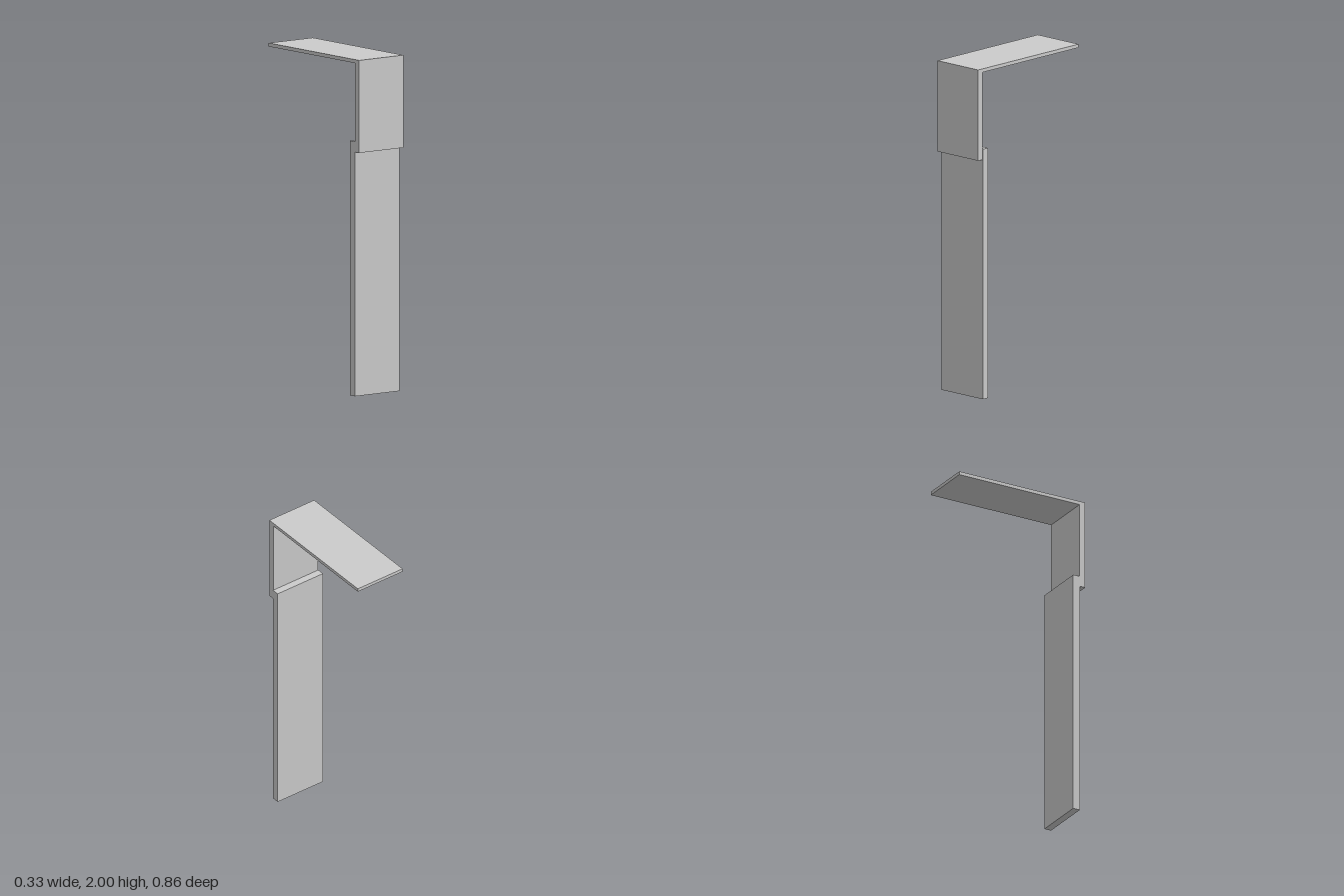
import * as THREE from 'three';

export function createModel() {
  const model = new THREE.Group();
  const material = new THREE.MeshStandardMaterial({ color: 0xcccccc, flatShading: true });

  // Extrudes a side profile of [z, y] corners across the width, centred on x = 0
  function addStrip(name, profile, width) {
    const shape = new THREE.Shape(profile.map(([z, y]) => new THREE.Vector2(-z, y)));
    const geometry = new THREE.ExtrudeGeometry(shape, { depth: width, bevelEnabled: false });
    geometry.translate(0, 0, -width / 2);
    geometry.rotateY(Math.PI / 2);
    const mesh = new THREE.Mesh(geometry, material);
    mesh.name = name;
    model.add(mesh);
  }

  // L-shaped bracket: thin top arm and thicker front flange
  addStrip('angleBracket', [
    [0.429, 1.45], [0.429, 2], [-0.429, 2], [-0.429, 1.979], [0.391, 1.979], [0.391, 1.45],
  ], 0.33);

  // Long upright plate lapped behind the flange
  addStrip('uprightPlate', [
    [0.391, 0], [0.391, 1.513], [0.346, 1.513], [0.346, 0],
  ], 0.334);

  return model;
}
